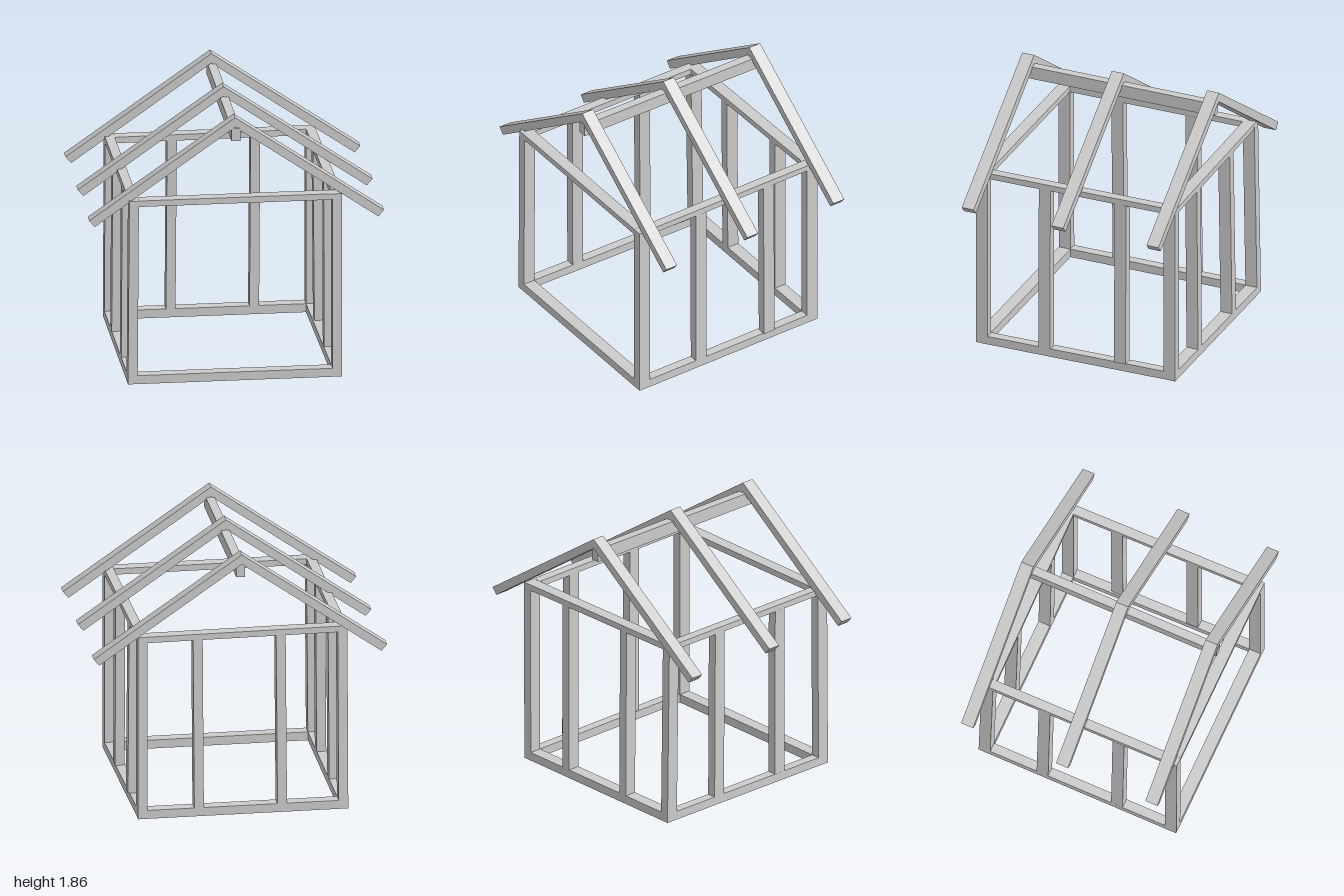
import * as THREE from 'three';

const material = new THREE.MeshStandardMaterial({ color: 0xcccccc, flatShading: true });
const W = 0.065, D = 0.085; // timber section

// Timber running from a to b along one axis; its section stays axis-aligned, so it may lean
function beam(name, axis, a, b, size) {
  const geo = new THREE.BoxGeometry(1, 1, 1);
  const pos = geo.attributes.position;
  for (let i = 0; i < pos.count; i++) {
    const c = [pos.getX(i), pos.getY(i), pos.getZ(i)];
    const end = c[axis] > 0 ? b : a;
    pos.setXYZ(i, ...c.map((s, k) => end[k] + (k === axis ? 0 : s * size[k])));
  }
  geo.computeVertexNormals();
  const mesh = new THREE.Mesh(geo, material);
  mesh.name = name;
  return mesh;
}

// Mitred half of a rafter pair; side is -1 or 1
function rafter(side, zBack) {
  const ridge = -0.01;
  const shape = new THREE.Shape([
    [ridge, 1.86], [side, 1.165], [side * 0.962, 1.12], [ridge, 1.792],
  ].map(([x, y]) => new THREE.Vector2(x, y)));
  const geo = new THREE.ExtrudeGeometry(shape, { depth: 0.088, bevelEnabled: false });
  geo.translate(0, 0, zBack);
  const mesh = new THREE.Mesh(geo, material);
  mesh.name = side < 0 ? 'rightRafter' : 'leftRafter';
  return mesh;
}

export function createModel() {
  const model = new THREE.Group();
  model.name = 'timberFrame';

  // Slightly irregular corner posts: bottom x, z and top x, z
  const corners = {
    frontRight: [-0.707, 0.692, -0.698, 0.692],
    frontLeft: [0.68, 0.692, 0.68, 0.692],
    backRight: [-0.705, -0.684, -0.702, -0.664],
    backLeft: [0.663, -0.684, 0.664, -0.684],
  };
  for (const [name, [x0, z0, x1, z1]] of Object.entries(corners)) {
    model.add(beam(name + 'Post', 1, [x0, 0, z0], [x1, 1.3, z1], [W, 1, D]));
  }

  // Bottom and top plates fitted between the posts
  const plates = [
    ['front', 0, 'frontRight', 'frontLeft'], ['back', 0, 'backRight', 'backLeft'],
    ['right', 2, 'backRight', 'frontRight'], ['left', 2, 'backLeft', 'frontLeft'],
  ];
  for (const [name, axis, from, to] of plates) {
    [['BottomPlate', 0, 0.03, 0.06], ['TopPlate', 2, 1.28, 0.042]].forEach(([part, k, y, h]) => {
      const a = [corners[from][k], y, corners[from][k + 1]];
      const b = [corners[to][k], y, corners[to][k + 1]];
      const inset = (axis === 0 ? W : D) / 2;
      a[axis] += inset;
      b[axis] -= inset;
      model.add(beam(name + part, axis, a, b, [W, h, D]));
    });
  }

  // Wall studs on the back and both sides; the front is open
  const studs = [
    ['backStud', -0.287, -0.684, -0.28, -0.67],
    ['backStud', 0.28, -0.684, 0.287, -0.678],
    ['rightStud', -0.706, 0.295, -0.7, 0.303],
    ['rightStud', -0.706, -0.255, -0.7, -0.243],
    ['leftStud', 0.679, 0.23, 0.675, 0.23],
    ['leftStud', 0.678, -0.325, 0.668, -0.325],
  ];
  for (const [name, x0, z0, x1, z1] of studs) {
    model.add(beam(name, 1, [x0, 0.06, z0], [x1, 1.26, z1], [W, 1, D]));
  }

  // Roof: ridge beam and three rafter pairs
  model.add(beam('ridgeBeam', 2, [-0.005, 1.74, -0.72], [-0.005, 1.74, 0.715], [0.06, 0.09, 1]));
  for (const z of [-0.738, -0.037, 0.623]) {
    const pair = new THREE.Group();
    pair.name = 'rafterPair';
    pair.add(rafter(-1, z), rafter(1, z));
    model.add(pair);
  }
  return model;
}
